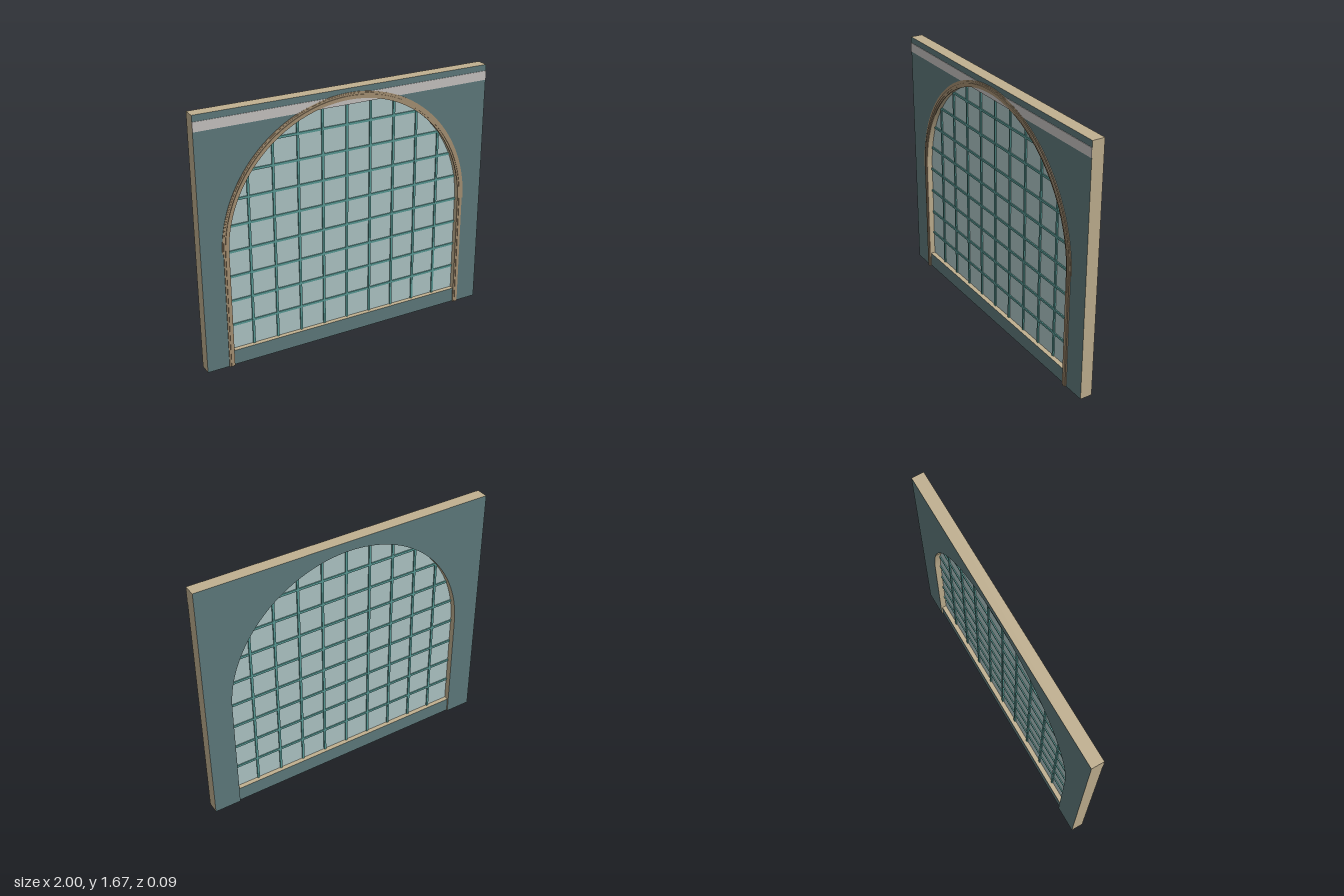
import * as THREE from 'three';

const material = (name, color) => {
  const m = new THREE.MeshStandardMaterial({ color });
  m.name = name;
  return m;
};

const SPRING = 0.78;   // height where the arch begins
const R = 0.825;       // opening half width
const SILL = 0.1;
const BACK = -0.046, FRONT = 0.035;

export function createModel() {
  const group = new THREE.Group();
  const teal = material('wall teal', 0x5f7b7d);
  const tan = material('stone tan', 0xc0b090);
  const brown = material('trim brown', 0xa89274);
  const pale = material('band pale grey', 0xc9c5c3);
  const glass = material('pane glass', 0xb0c8c8);
  const green = material('glazing bar green', 0x5a9c97);

  const add = (name, geometry, mat, x = 0, y = 0, z = 0) => {
    const mesh = new THREE.Mesh(geometry, mat);
    mesh.name = name;
    mesh.position.set(x, y, z);
    group.add(mesh);
    return mesh;
  };
  const extrude = (shape, depth) =>
    new THREE.ExtrudeGeometry(shape, { depth, bevelEnabled: false, curveSegments: 48 });

  // Wall with an arched opening reaching the floor; edges and reveal are stone
  const wall = new THREE.Shape();
  wall.moveTo(-1, 0);
  wall.lineTo(-R, 0);
  wall.lineTo(-R, SPRING);
  wall.absarc(0, SPRING, R, Math.PI, 0, true);
  wall.lineTo(R, 0);
  wall.lineTo(1, 0);
  wall.lineTo(1, 1.67);
  wall.lineTo(-1, 1.67);
  wall.closePath();
  add('wall', extrude(wall, FRONT - BACK), [teal, tan], 0, 0, BACK);

  // Panel below the window with a stone sill on top
  add('sillPanel', new THREE.BoxGeometry(2 * R, SILL, 0.066),
    [teal, teal, tan, teal, teal, teal], 0, SILL / 2, -0.003);

  // Glass sheet
  const pane = new THREE.Shape();
  pane.moveTo(-R, SILL);
  pane.lineTo(R, SILL);
  pane.lineTo(R, SPRING);
  pane.absarc(0, SPRING, R, 0, Math.PI, false);
  pane.closePath();
  add('glassPane', extrude(pane, 0.006), glass, 0, 0, -0.006);

  // Glazing bars, each cut to the arch
  const step = 1 / 6, bar = 0.015, depth = 0.022;
  for (let i = -4; i <= 4; i++) {
    const x = i * step;
    const top = SPRING + Math.sqrt(R * R - x * x);
    add('verticalBar', new THREE.BoxGeometry(bar, top - SILL, depth), green,
      x, (top + SILL) / 2, -0.003);
  }
  for (let i = 1; i <= 8; i++) {
    const y = SILL + i * step;
    const rise = Math.max(0, y - SPRING);
    const half = Math.sqrt(R * R - rise * rise);
    add('horizontalBar', new THREE.BoxGeometry(2 * half, bar, depth - 0.002), green, 0, y, -0.003);
  }

  // Pale band across the wall head
  add('headBand', new THREE.BoxGeometry(2, 0.06, 0.003), pale, 0, 1.6, FRONT + 0.0015);

  // Stepped moulding around the arch: inner radius, outer radius, front z
  const moulding = [
    [0.820, 0.831, 0.042],
    [0.831, 0.845, 0.046],
    [0.845, 0.855, 0.041],
  ];
  for (const [inner, outer, z] of moulding) {
    const s = new THREE.Shape();
    s.moveTo(inner, 0);
    s.lineTo(outer, 0);
    s.lineTo(outer, SPRING);
    s.absarc(0, SPRING, outer, 0, Math.PI, false);
    s.lineTo(-outer, 0);
    s.lineTo(-inner, 0);
    s.lineTo(-inner, SPRING);
    s.absarc(0, SPRING, inner, Math.PI, 0, true);
    s.closePath();
    add('archMoulding', extrude(s, z - FRONT + 0.001), brown, 0, 0, FRONT - 0.001);
  }

  // Thin outer lip on the curved part only
  const lip = new THREE.Shape();
  lip.absarc(0, SPRING, 0.863, 0, Math.PI, false);
  lip.absarc(0, SPRING, 0.855, Math.PI, 0, true);
  lip.closePath();
  add('archLip', extrude(lip, 0.005), brown, 0, 0, FRONT - 0.001);

  return group;
}
